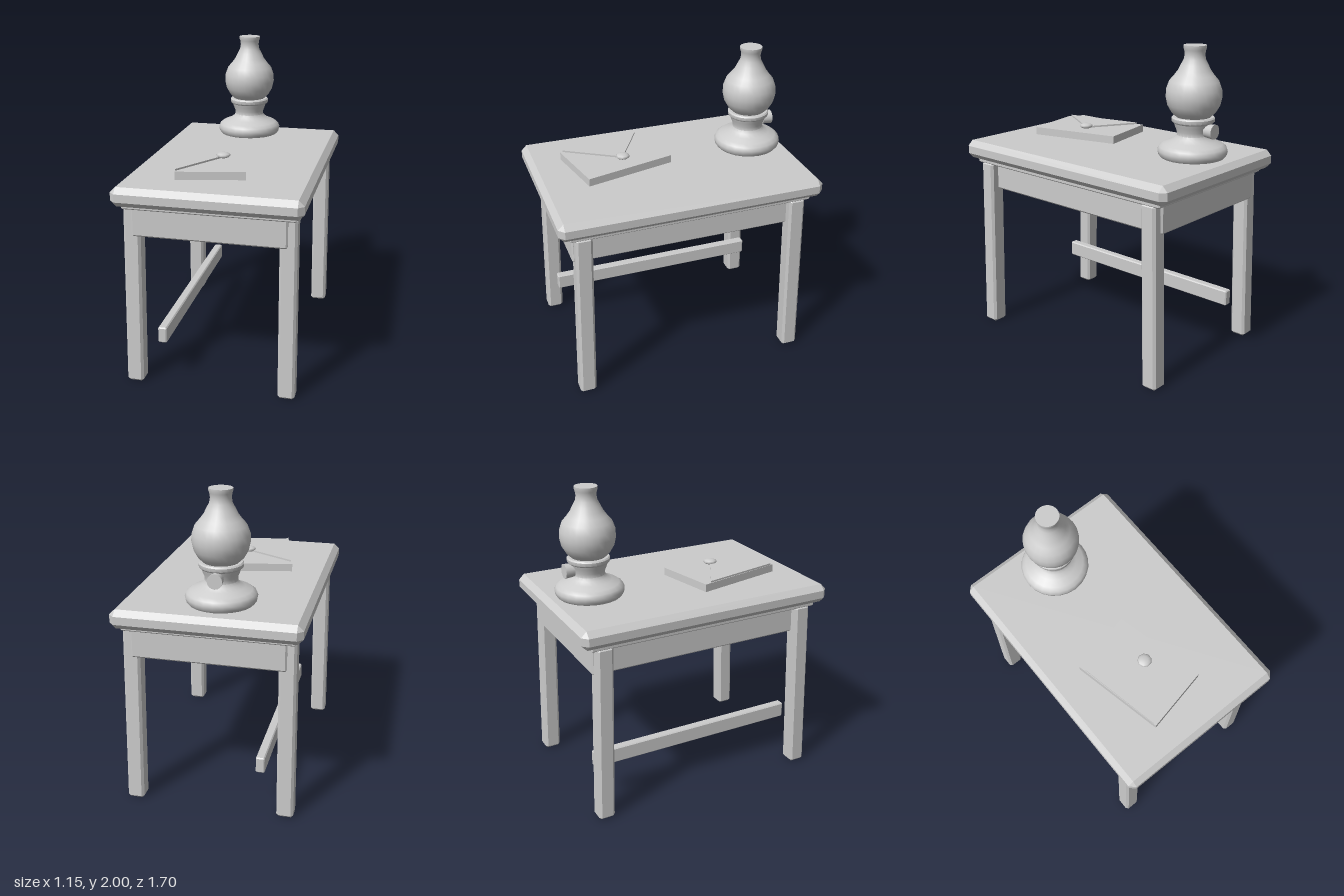
import * as THREE from 'three';
import { ConvexGeometry } from 'three/addons/geometries/ConvexGeometry.js';
import { toCreasedNormals } from 'three/addons/utils/BufferGeometryUtils.js';

const SIGNS = [-1, 1];

// Box with every edge and corner chamfered by c; move() may shift each point
function chamferBox(w, h, d, c, move = (p) => p) {
  const pts = [];
  for (const sx of SIGNS) for (const sy of SIGNS) for (const sz of SIGNS) {
    for (let axis = 0; axis < 3; axis++) {
      const in_ = [c, c, c];
      in_[axis] = 0;
      pts.push(move(new THREE.Vector3(
        sx * (w / 2 - in_[0]), sy * (h / 2 - in_[1]), sz * (d / 2 - in_[2]))));
    }
  }
  return new ConvexGeometry(pts);
}

// Flat plate from [x, z] outline points, lying on height y
function plate(outline, y, thickness) {
  const shape = new THREE.Shape(outline.map(([x, z]) => new THREE.Vector2(x, -z)));
  return new THREE.ExtrudeGeometry(shape, { depth: thickness, bevelEnabled: false })
    .rotateX(-Math.PI / 2).translate(0, y, 0);
}

export function createModel() {
  const model = new THREE.Group();
  model.name = 'deskWithLamp';
  const grey = new THREE.MeshStandardMaterial({ color: 0xcccccc });
  grey.name = 'plain grey';

  const add = (parent, name, geometry, x = 0, y = 0, z = 0) => {
    const mesh = new THREE.Mesh(geometry, grey);
    mesh.name = name;
    mesh.position.set(x, y, z);
    parent.add(mesh);
    return mesh;
  };

  // Table top and the thin slab beneath it
  const table = new THREE.Group();
  table.name = 'table';
  model.add(table);
  add(table, 'tableTop', chamferBox(1.15, 0.12, 1.7, 0.035), 0, 1.243, 0);
  add(table, 'topSupport', chamferBox(1.05, 0.034, 1.56, 0.007), 0, 1.171, 0);

  // Aprons: short ones sit outside the legs, long ones run between them
  for (const s of SIGNS) {
    add(table, s > 0 ? 'frontApron' : 'backApron',
      chamferBox(0.945, 0.185, 0.06, 0.01), 0, 1.0725, s * 0.732);
    add(table, s > 0 ? 'leftApron' : 'rightApron',
      chamferBox(0.055, 0.185, 1.42, 0.01), s * 0.447, 1.0725, 0);
  }

  // Legs splay outward towards the floor
  const legHeight = 1.165;
  for (const sx of SIGNS) for (const sz of SIGNS) {
    const splay = (p) => {
      const t = 0.5 - p.y / legHeight;
      p.x += sx * 0.008 * t;
      p.z += sz * 0.028 * t;
      return p;
    };
    add(table, (sz > 0 ? 'front' : 'back') + (sx > 0 ? 'Left' : 'Right') + 'Leg',
      chamferBox(0.106, legHeight, 0.106, 0.015, splay), sx * 0.474, legHeight / 2, sz * 0.694);
  }
  add(table, 'stretcher', chamferBox(0.056, 0.104, 1.43, 0.007), -0.314, 0.312, 0);

  // Oil lamp
  const lamp = new THREE.Group();
  lamp.name = 'lamp';
  lamp.position.set(-0.045, 0, -0.585);
  model.add(lamp);
  const lathe = (profile) => toCreasedNormals(
    new THREE.LatheGeometry(profile.map(([r, y]) => new THREE.Vector2(r, y)), 24), 0.75);
  add(lamp, 'lampBase', lathe([
    [0, 1.318], [0.198, 1.318], [0.212, 1.335], [0.217, 1.36], [0.208, 1.383], [0.185, 1.4],
    [0.14, 1.418], [0.112, 1.437], [0.098, 1.455], [0.1, 1.48], [0.112, 1.51], [0.12, 1.535], [0, 1.535]]));
  add(lamp, 'lampCollar', lathe([
    [0, 1.528], [0.122, 1.53], [0.132, 1.54], [0.133, 1.56], [0.126, 1.568], [0, 1.568]]));
  add(lamp, 'lampGlass', lathe([
    [0, 1.56], [0.1, 1.562], [0.135, 1.595], [0.161, 1.64], [0.172, 1.69], [0.17, 1.735],
    [0.152, 1.785], [0.122, 1.82], [0.1, 1.85], [0.083, 1.885], [0.067, 1.915], [0.062, 1.945],
    [0.066, 1.972], [0.071, 1.985], [0.071, 2], [0, 2]]));

  // Wick knob at the back of the lamp
  add(lamp, 'knobStem', new THREE.CylinderGeometry(0.02, 0.02, 0.08, 12).rotateX(Math.PI / 2), 0, 1.493, -0.09);
  add(lamp, 'knob', new THREE.CylinderGeometry(0.046, 0.04, 0.06, 16).rotateX(-Math.PI / 2), 0, 1.493, -0.132);

  // Envelope with its flap and seal
  const envelope = new THREE.Group();
  envelope.name = 'envelope';
  model.add(envelope);
  add(envelope, 'envelopeBody', plate(
    [[-0.355, 0.067], [-0.228, 0.65], [0.185, 0.565], [0.045, -0.015]], 1.318, 0.05));
  add(envelope, 'envelopeFlap', plate(
    [[-0.34, 0.11], [-0.23, 0.632], [-0.02, 0.29]], 1.366, 0.013));
  const seal = new THREE.SphereGeometry(0.045, 9, 6).scale(1, 0.4, 1);
  add(envelope, 'seal', seal, -0.02, 1.384, 0.29);

  return model;
}
